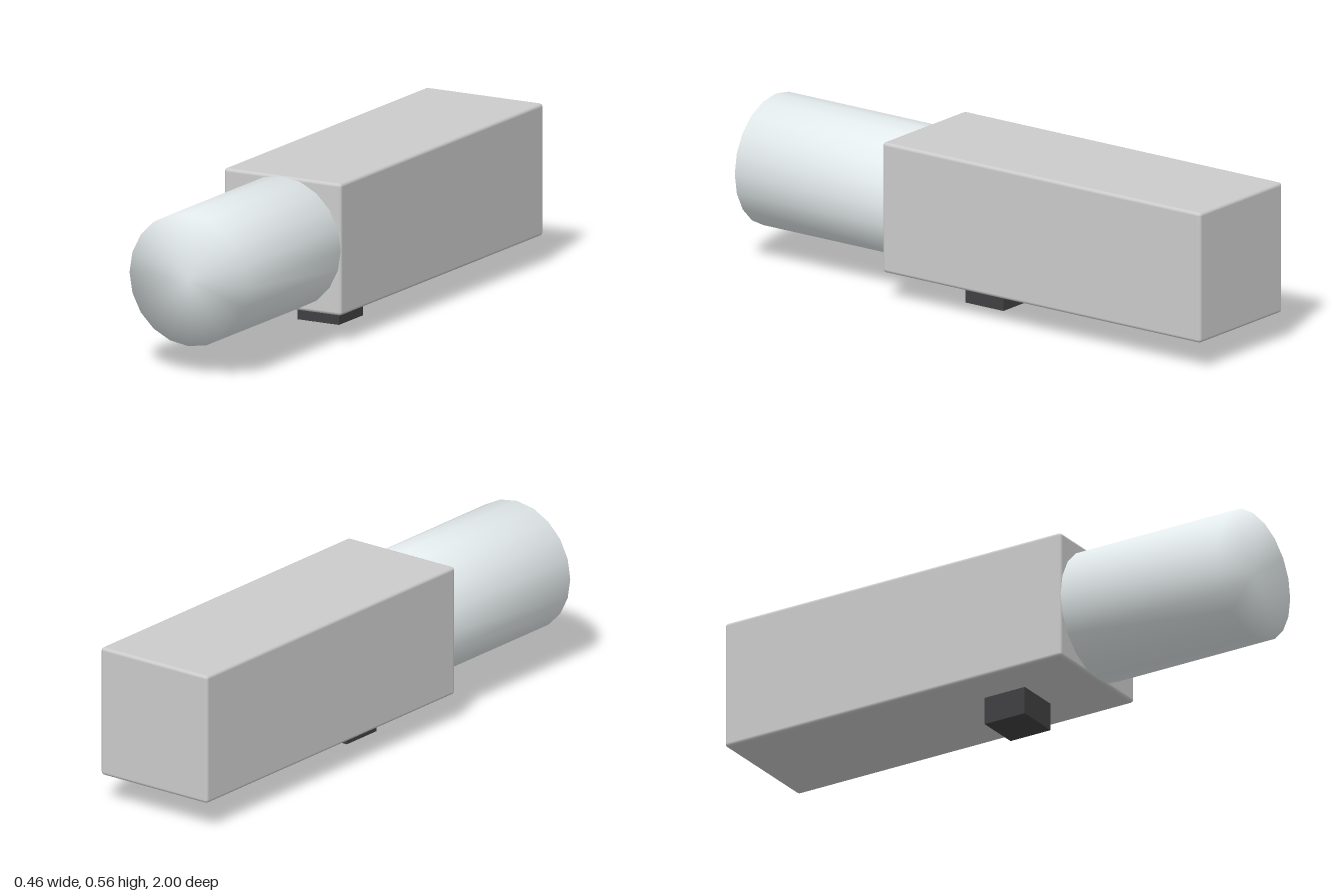
import * as THREE from 'three';
import { mergeVertices } from 'three/addons/utils/BufferGeometryUtils.js';
import { RoundedBoxGeometry } from 'three/addons/geometries/RoundedBoxGeometry.js';

const HALF = 0.232;      // half width of the housing, also the barrel radius
const CENTER_Y = 0.331;  // height of the long axis
const JOINT_Z = 0.367;   // where barrel and housing meet

function addPart(group, name, geometry, color, x, y, z) {
  const mesh = new THREE.Mesh(geometry, new THREE.MeshStandardMaterial({ color }));
  mesh.name = name;
  mesh.position.set(x, y, z);
  group.add(mesh);
}

// Capped cylinder along z, shaded smoothly across its rims
function smoothBarrel(radius, length, sides) {
  const geometry = new THREE.CylinderGeometry(radius, radius, length, sides);
  geometry.rotateX(Math.PI / 2);
  geometry.deleteAttribute('uv');
  geometry.deleteAttribute('normal');
  const merged = mergeVertices(geometry, 1e-4);
  merged.computeVertexNormals();
  return merged;
}

export function createModel() {
  const group = new THREE.Group();

  // Long housing with finely bevelled edges
  const bodyLength = 1 + JOINT_Z;
  addPart(group, 'housing', new RoundedBoxGeometry(HALF * 2, HALF * 2, bodyLength, 2, 0.012),
    0xcccccc, 0, CENTER_Y, JOINT_Z - bodyLength / 2);

  // Twenty-sided barrel at the front
  const barrelLength = 1 - JOINT_Z;
  addPart(group, 'barrel', smoothBarrel(HALF, barrelLength, 20),
    0xe4ebec, 0, CENTER_Y, JOINT_Z + barrelLength / 2);

  // Dark mounting foot below the housing
  addPart(group, 'mountingFoot', new THREE.BoxGeometry(0.163, 0.11, 0.163),
    0x404042, 0, 0.055, 0.042);

  return group;
}
